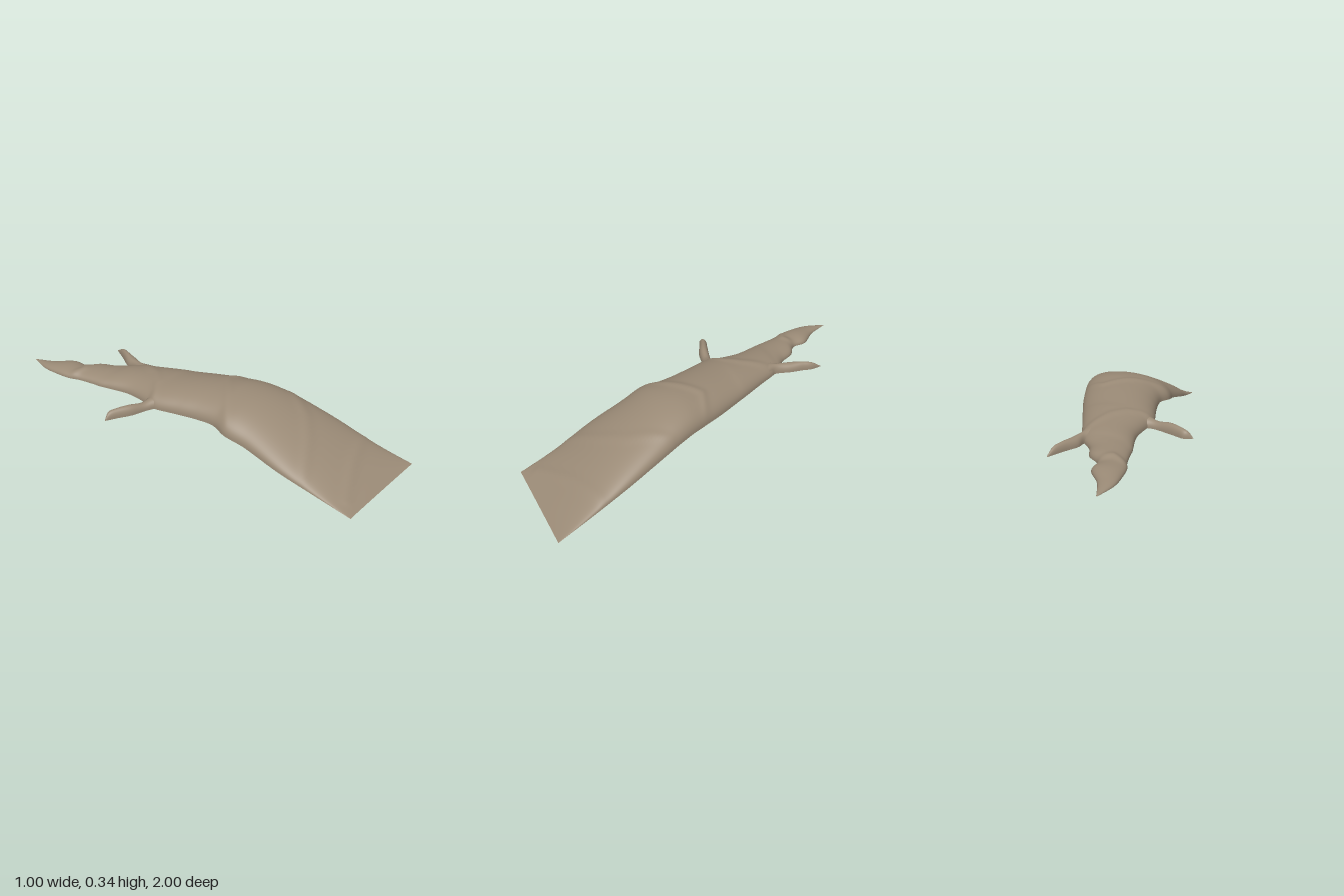
import * as THREE from 'three';

const bark = new THREE.MeshStandardMaterial({ color: 0x9a8a76, side: THREE.DoubleSide });
bark.name = 'bark';

// Raised creases running diagonally over the bark, as [x, z] polylines
const creases = [
  [[-0.02, 0.93], [0.2, 0.82], [0.44, 0.74]],
  [[-0.1, 0.73], [0.08, 0.62], [0.2, 0.52], [0.32, 0.33]],
  [[-0.17, 0.28], [-0.02, 0.18], [0.12, 0.06], [0.24, 0.1]],
  [[-0.26, -0.14], [-0.14, -0.21], [-0.08, -0.28], [0, -0.44]],
  [[-0.32, -0.68], [-0.26, -0.66], [-0.2, -0.7]],
];

function creaseHeight(x, z) {
  let best = Infinity;
  for (const line of creases) {
    for (let i = 0; i + 1 < line.length; i++) {
      const [ax, az] = line[i], [bx, bz] = line[i + 1];
      const dx = bx - ax, dz = bz - az;
      const t = THREE.MathUtils.clamp(((x - ax) * dx + (z - az) * dz) / (dx * dx + dz * dz), 0, 1);
      best = Math.min(best, Math.hypot(x - ax - t * dx, z - az - t * dz));
    }
  }
  return 0.007 * Math.exp(-((best / 0.022) ** 2));
}

// Open arched shell; each station is [leftX, leftZ, rightX, rightZ, rimY, crestY]
function archedShell(name, stations, rows, cols, ridged) {
  const curve = (f) => new THREE.CatmullRomCurve3(stations.map((s) => new THREE.Vector3(...f(s))));
  const left = curve((s) => [s[0], s[4], s[1]]);
  const right = curve((s) => [s[2], s[4], s[3]]);
  const crest = curve((s) => [(s[0] + s[2]) / 2, s[5], (s[1] + s[3]) / 2]);
  const pos = [], index = [];
  for (let i = 0; i <= rows; i++) {
    const l = left.getPoint(i / rows), r = right.getPoint(i / rows), c = crest.getPoint(i / rows);
    for (let j = 0; j <= cols; j++) {
      const a = (Math.PI * j) / cols;
      const p = l.clone().lerp(r, (1 - Math.cos(a)) / 2);
      const arch = Math.pow(Math.max(0, Math.sin(a)), 0.9);
      p.y += Math.max(0, c.y - p.y) * arch;
      if (ridged) p.y += creaseHeight(p.x, p.z) * arch;
      pos.push(p.x, p.y, p.z);
      if (i < rows && j < cols) {
        const k = i * (cols + 1) + j, n = k + cols + 1;
        index.push(k, k + 1, n, k + 1, n + 1, n);
      }
    }
  }
  const geo = new THREE.BufferGeometry();
  geo.setAttribute('position', new THREE.Float32BufferAttribute(pos, 3));
  geo.setIndex(index);
  geo.computeVertexNormals();
  const mesh = new THREE.Mesh(geo, bark);
  mesh.name = name;
  return mesh;
}

export function createModel() {
  const model = new THREE.Group();
  model.name = 'root';

  // Main root: [z, leftX, rightX, rimY, crestY], from the flat end to the tip
  const trunk = [
    [1, -0.082, 0.495, 0, 0.003],
    [0.8, -0.11, 0.45, 0.052, 0.1],
    [0.6, -0.145, 0.408, 0.113, 0.205],
    [0.4, -0.16, 0.355, 0.172, 0.29],
    [0.29, -0.18, 0.322, 0.2, 0.324],
    [0.2, -0.163, 0.29, 0.213, 0.335],
    [0.1, -0.18, 0.252, 0.215, 0.331],
    [0, -0.21, 0.212, 0.215, 0.324],
    [-0.15, -0.255, 0.143, 0.215, 0.31],
    [-0.2, -0.243, 0.12, 0.215, 0.307],
    [-0.33, -0.24, 0.058, 0.215, 0.293],
    [-0.45, -0.272, 0.002, 0.215, 0.279],
    [-0.5, -0.288, -0.035, 0.215, 0.27],
    [-0.56, -0.3, -0.09, 0.215, 0.265],
    [-0.64, -0.32, -0.13, 0.215, 0.26],
    [-0.7, -0.345, -0.197, 0.215, 0.252],
    [-0.78, -0.358, -0.205, 0.215, 0.252],
    [-0.88, -0.363, -0.28, 0.215, 0.237],
    [-1, -0.336, -0.332, 0.215, 0.217],
  ].map(([z, l, r, low, top]) => [l, z, r, z, low, top]);
  model.add(archedShell('mainRoot', trunk, 216, 40, true));

  // Side rootlets, from inside the main root to their tips
  model.add(archedShell('rightRootlet', [
    [-0.18, -0.06, -0.18, -0.24, 0.215, 0.27],
    [-0.24, -0.12, -0.24, -0.2, 0.215, 0.26],
    [-0.29, -0.145, -0.28, -0.2, 0.215, 0.25],
    [-0.37, -0.17, -0.35, -0.222, 0.215, 0.262],
    [-0.44, -0.208, -0.41, -0.245, 0.215, 0.26],
    [-0.48, -0.228, -0.455, -0.26, 0.215, 0.25],
    [-0.5, -0.238, -0.497, -0.242, 0.215, 0.217],
  ], 36, 16, false));
  model.add(archedShell('leftRootlet', [
    [-0.08, -0.45, 0.02, -0.4, 0.215, 0.27],
    [-0.04, -0.5, 0.003, -0.45, 0.215, 0.262],
    [-0.033, -0.555, 0.028, -0.54, 0.215, 0.258],
    [0.0, -0.62, 0.042, -0.61, 0.215, 0.258],
    [0.024, -0.67, 0.055, -0.66, 0.215, 0.25],
    [0.048, -0.722, 0.052, -0.72, 0.215, 0.217],
  ], 36, 16, false));

  return model;
}
